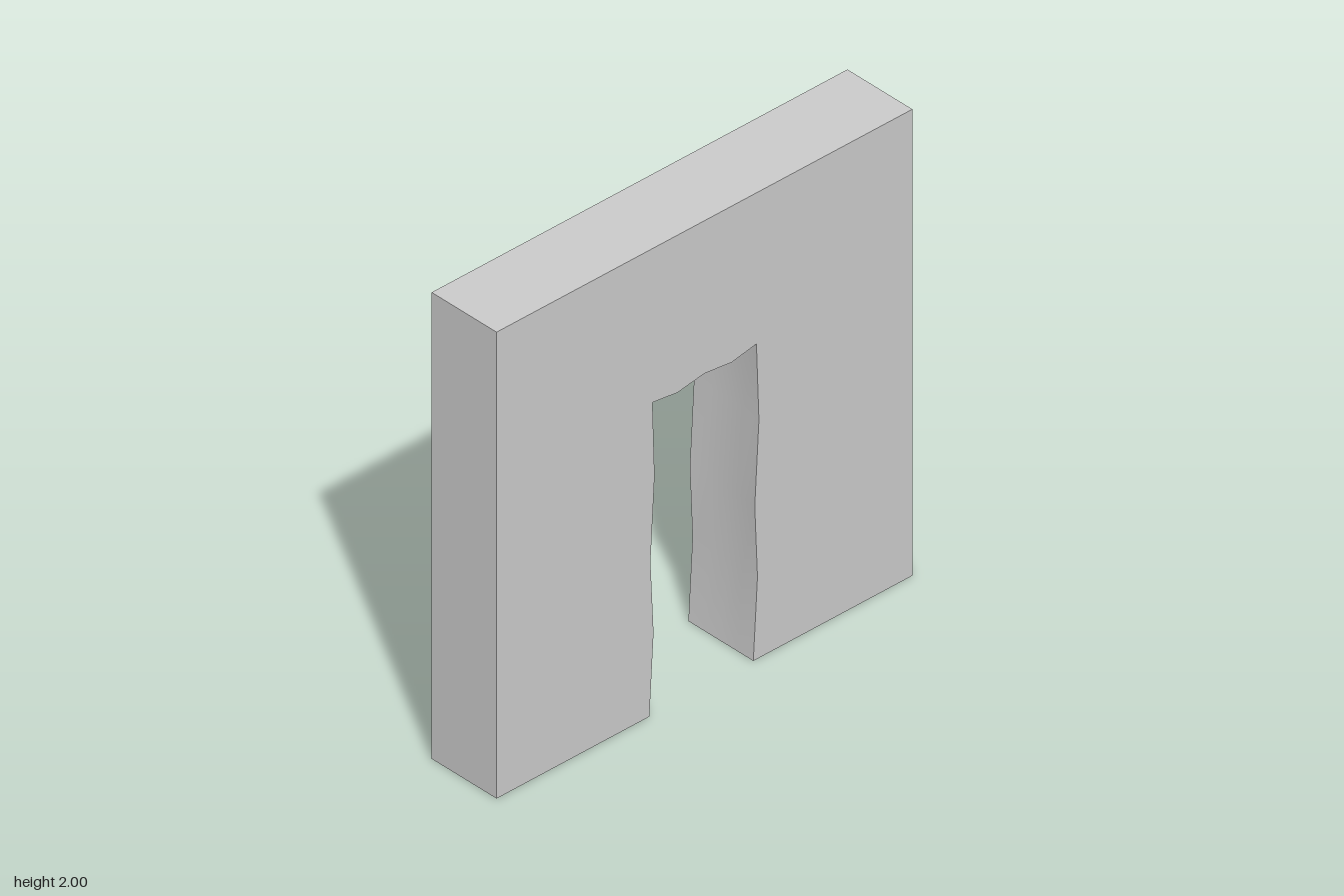
import * as THREE from 'three';
import { toCreasedNormals } from 'three/addons/utils/BufferGeometryUtils.js';

const DEPTH = 0.334;

export function createModel() {
  const group = new THREE.Group();
  group.name = 'wallWithDoorway';

  // Wall outline with a rough-hewn doorway cut up from the floor
  const outline = [
    [-1, 0], [-0.265, 0], [-0.245, 0.35], [-0.26, 0.66], [-0.24, 1.02], [-0.25, 1.34],
    [-0.13, 1.325], [0, 1.345], [0.13, 1.33], [0.25, 1.352],
    [0.262, 1.02], [0.242, 0.66], [0.255, 0.35], [0.235, 0], [1, 0], [1, 2], [-1, 2],
  ];
  const shape = new THREE.Shape(outline.map(([x, y]) => new THREE.Vector2(x, y)));
  const geometry = new THREE.ExtrudeGeometry(shape, { depth: DEPTH, steps: 4, bevelEnabled: false });
  geometry.translate(0, 0, -DEPTH / 2);

  // Hollow the inner faces of the doorway slightly between front and back
  const p = geometry.attributes.position;
  for (let i = 0; i < p.count; i++) {
    const x = p.getX(i), y = p.getY(i), z = p.getZ(i);
    if (Math.abs(x) > 0.3 || y < 0.01 || Math.abs(z) > DEPTH / 2 - 0.01) continue;
    const hollow = 0.012 * Math.cos((Math.PI * z) / DEPTH);
    if (Math.abs(x) > 0.2) p.setX(i, x + Math.sign(x) * hollow);
    if (y > 1.3) p.setY(i, y + hollow);
  }

  const wall = new THREE.Mesh(
    toCreasedNormals(geometry, 0.6),
    new THREE.MeshStandardMaterial({ color: 0xcccccc })
  );
  wall.name = 'wall';
  group.add(wall);
  return group;
}
